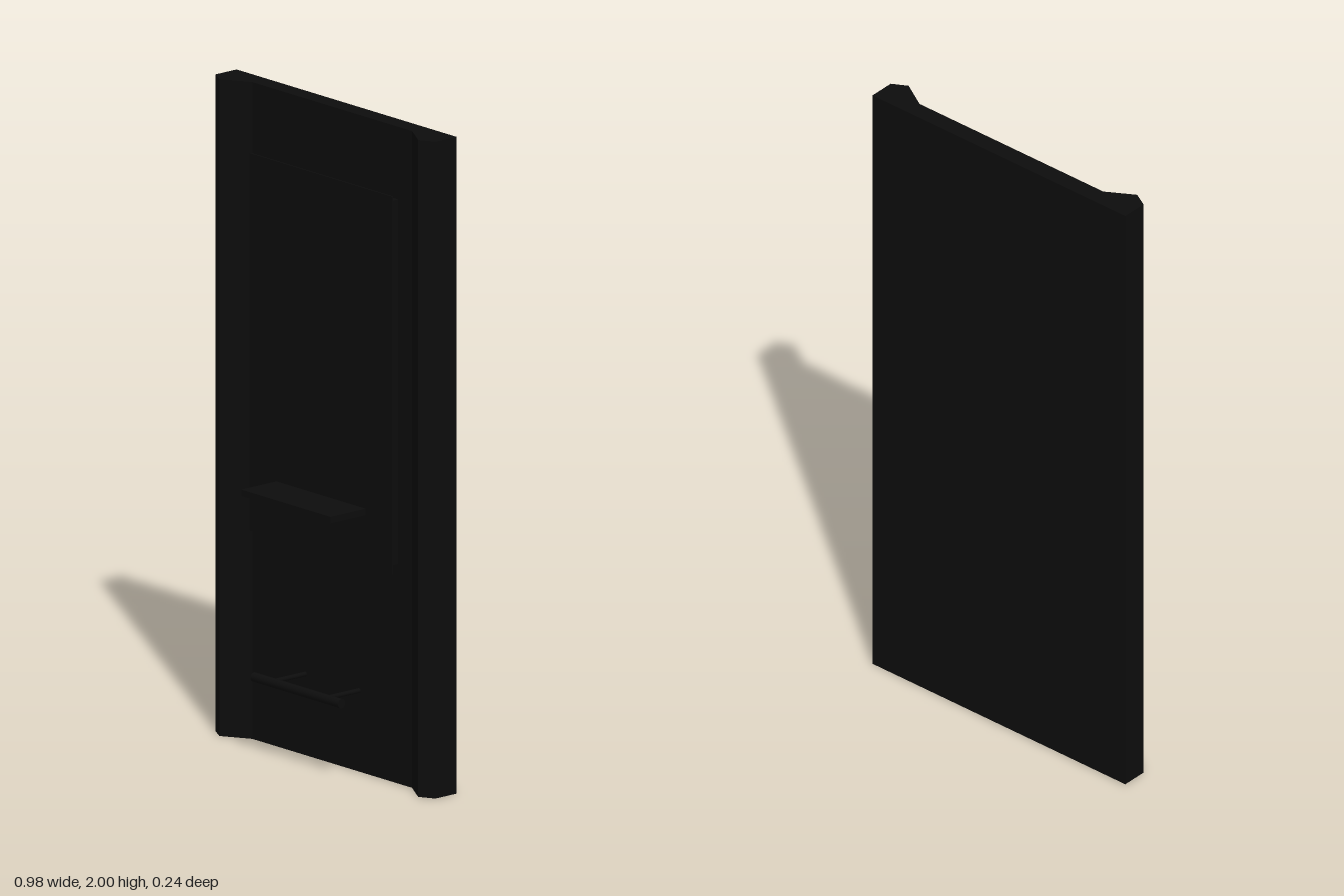
import * as THREE from 'three';

export function createModel() {
  const model = new THREE.Group();
  const dark = new THREE.MeshStandardMaterial({ color: 0x0d0d0d });

  const add = (name, geometry, x, y, z) => {
    const mesh = new THREE.Mesh(geometry, dark);
    mesh.name = name;
    mesh.position.set(x, y, z);
    model.add(mesh);
    return mesh;
  };

  // Wall panel: plan outline with a raised ridge along each side, extruded upwards
  const half = [[0.49, -0.118], [0.49, -0.036], [0.443, -0.01], [0.356, -0.062]];
  const outline = [...half, ...half.map(([x, z]) => [-x, z]).reverse()];
  const plan = new THREE.Shape(outline.map(([x, z]) => new THREE.Vector2(x, -z)));
  const panel = new THREE.ExtrudeGeometry(plan, { depth: 2, bevelEnabled: false });
  panel.rotateX(-Math.PI / 2);
  add('wallPanel', panel, 0, 0, 0);

  // Mirror: backing box with a slightly larger thin glass sheet in front
  add('mirrorBacking', new THREE.BoxGeometry(0.595, 1.11, 0.037), 0, 1.225, -0.0405);
  add('mirrorGlass', new THREE.BoxGeometry(0.636, 1.15, 0.004), 0, 1.225, -0.02);

  // Shelf standing out from the mirror
  add('shelf', new THREE.BoxGeometry(0.396, 0.02, 0.138), 0, 0.815, 0.049);

  // Footrest: a round bar on two rods fixed to the panel
  const bar = new THREE.CylinderGeometry(0.014, 0.014, 0.39, 24);
  bar.rotateZ(Math.PI / 2);
  add('footrestBar', bar, 0, 0.247, 0.072);
  const rod = new THREE.CylinderGeometry(0.007, 0.007, 0.135, 16);
  rod.rotateX(Math.PI / 2);
  for (const side of [-1, 1]) add('footrestRod', rod, side * 0.12, 0.247, 0.0045);

  return model;
}
